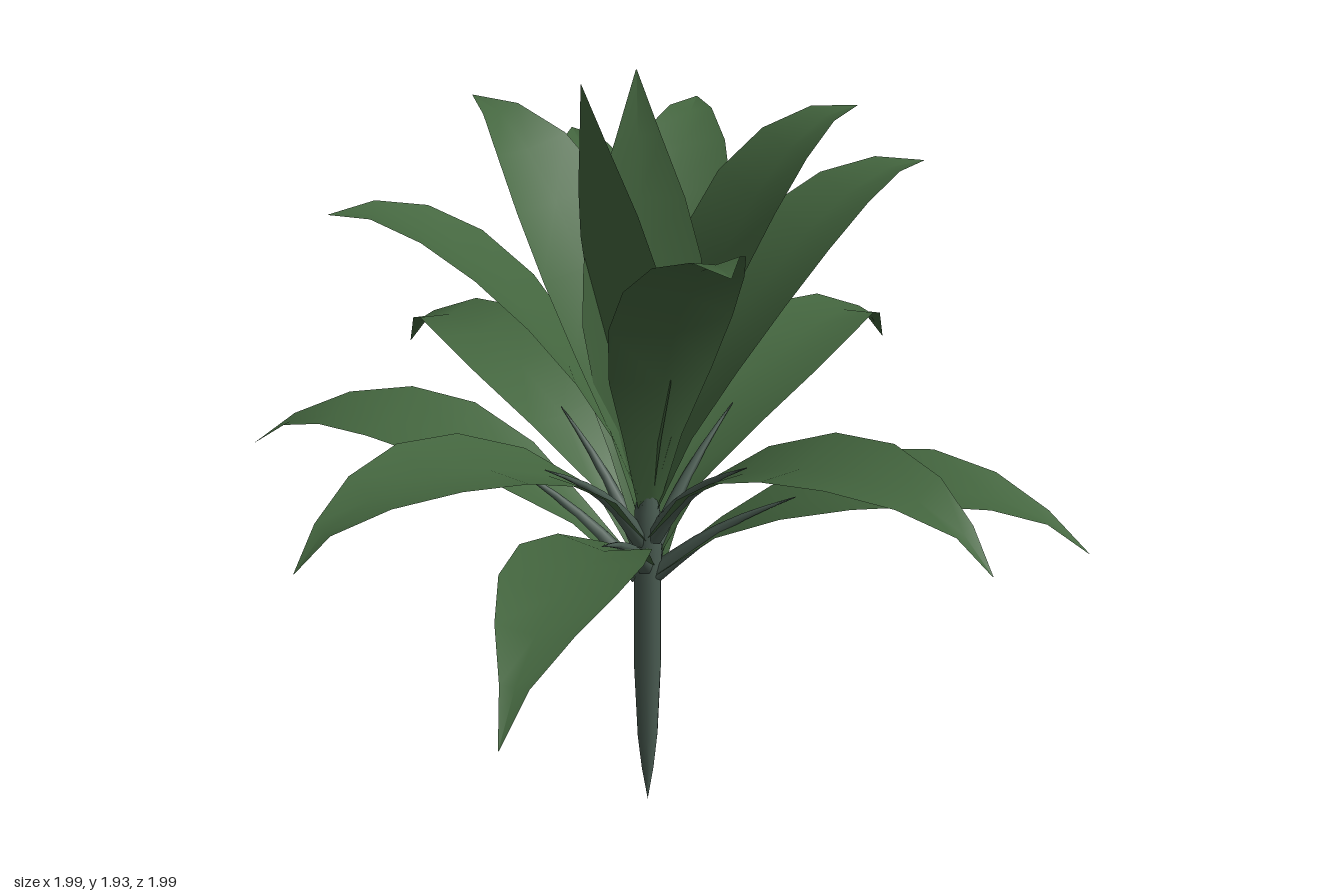
import * as THREE from 'three';

const CX = -0.015, CZ = 0.015; // stalk axis
const STEPS = 7; // sections along a leaf
const leafMat = new THREE.MeshStandardMaterial({ color: 0x44663f, side: THREE.DoubleSide });
const stemMat = new THREE.MeshStandardMaterial({ color: 0x4a5c52, side: THREE.DoubleSide });

// Each tier: the base and two handles of its arch as [reach fraction, height
// relative to the tip], then its leaf tips as [x, y, z].
const tiers = [
  { name: 'lowerLeaf', petiole: true, arch: [[0.02, -0.17], [0.35, 0.2], [0.8, 0.23]],
    tips: [[0.99, 0.845, 0.13], [-0.23, 0.875, 0.99], [-1, 0.83, -0.25], [0.15, 0.8, -1]] },
  { name: 'droopingLeaf', petiole: true, arch: [[0.02, -0.2], [0.3, 0.2], [0.9, 0.28]],
    tips: [[-0.68, 0.91, -0.67], [0.53, 0.92, -0.77]] },
  { name: 'middleLeaf', petiole: true, arch: [[0.02, -0.26], [0.25, 0.16], [0.87, 0.22]],
    tips: [[0.74, 1.04, 0.545], [-0.7, 1.03, 0.63]] },
  { name: 'upperLeaf', petiole: false, arch: [[0.02, -0.72], [0.2, -0.25], [0.7, 0.07]],
    tips: [[0.59, 1.57, -0.38], [-0.26, 1.48, -0.74], [-0.7, 1.59, 0.07], [0.05, 1.59, -0.69]] },
  { name: 'innerLeaf', petiole: false, arch: [[0.02, -0.85], [0.13, -0.35], [0.62, 0.04]],
    tips: [[0.19, 1.7, 0.55], [0.43, 1.75, -0.25], [-0.45, 1.69, -0.4]] },
  { name: 'crownLeaf', petiole: false, arch: [[0.02, -1.03], [0.25, -0.6], [0.6, -0.35]],
    tips: [[-0.14, 1.93, 0.14], [-0.05, 1.86, -0.14]] },
];

// Midrib of one leaf, from the stalk out to its tip
function leafSpine(arch, [x, y, z]) {
  const points = [...arch, [1, 0]].map(([f, dy]) =>
    new THREE.Vector3(CX + f * (x - CX), y + dy, CZ + f * (z - CZ)));
  return new THREE.CubicBezierCurve3(...points);
}

// Leaf width: narrow base, widest near the middle, pointed tip
function leafWidth(t, slimness) {
  const swell = Math.max(0, Math.sin(Math.PI * t ** 0.9));
  return Math.max(0.28 * swell ** slimness, 0.045 * (1 - t) + 0.002);
}

// Blade: three points across, edges lifted a little above the midrib
function leafBlade(spine, [x, , z], slimness) {
  const side = new THREE.Vector3(z - CZ, 0, CX - x).normalize();
  const pos = [], index = [];
  for (let i = 0; i <= STEPS; i++) {
    const t = i / STEPS;
    const p = spine.getPoint(t);
    const up = spine.getTangent(t).cross(side).normalize();
    const w = leafWidth(t, slimness);
    for (const k of [-1, 0, 1]) {
      const v = p.clone().addScaledVector(side, k * w / 2)
        .addScaledVector(up, (Math.abs(k) - 0.5) * w * 0.1);
      pos.push(v.x, v.y, v.z);
    }
    if (i === STEPS) continue;
    for (let k = 0; k < 2; k++) {
      const a = i * 3 + k, b = a + 3;
      index.push(a, b, a + 1, b, b + 1, a + 1);
    }
  }
  const g = new THREE.BufferGeometry();
  g.setAttribute('position', new THREE.Float32BufferAttribute(pos, 3));
  g.setIndex(index);
  g.computeVertexNormals();
  return g;
}

// Round petiole along the start of the midrib, tapering into the blade
function petioleTube(spine) {
  const path = new THREE.CatmullRomCurve3([0, 0.1, 0.2, 0.3].map((t) => spine.getPoint(t)));
  const rings = 6, sides = 6;
  const tube = new THREE.TubeGeometry(path, rings, 0.022, sides);
  const p = tube.attributes.position, v = new THREE.Vector3();
  for (let j = 0; j < p.count; j++) {
    const t = Math.floor(j / (sides + 1)) / rings;
    const centre = path.getPointAt(t);
    v.fromBufferAttribute(p, j).sub(centre).multiplyScalar(1.05 - t).add(centre);
    p.setXYZ(j, v.x, v.y, v.z);
  }
  return tube;
}

export function createModel() {
  const plant = new THREE.Group();
  plant.name = 'plant';
  const add = (name, geometry, material) => {
    const mesh = new THREE.Mesh(geometry, material);
    mesh.name = name;
    plant.add(mesh);
    return mesh;
  };

  // Stalk, pointed at the foot and thinning into the crown
  const profile = [[0, 0], [0.015, 0.1], [0.025, 0.2], [0.033, 0.4], [0.033, 0.66],
    [0.036, 0.74], [0.03, 0.85], [0, 1]].map(([r, y]) => new THREE.Vector2(r, y));
  add('stalk', new THREE.LatheGeometry(profile, 10), stemMat).position.set(CX, 0, CZ);

  // Leaves, tier by tier; the spreading ones are slimmer at the base, on petioles
  for (const { name, arch, tips, petiole } of tiers) {
    tips.forEach((tip, i) => {
      const spine = leafSpine(arch, tip);
      add(`${name}${i + 1}`, leafBlade(spine, tip, petiole ? 1.6 : 1.1), leafMat);
      if (petiole) add(`${name}Petiole${i + 1}`, petioleTube(spine), stemMat);
    });
  }
  return plant;
}
